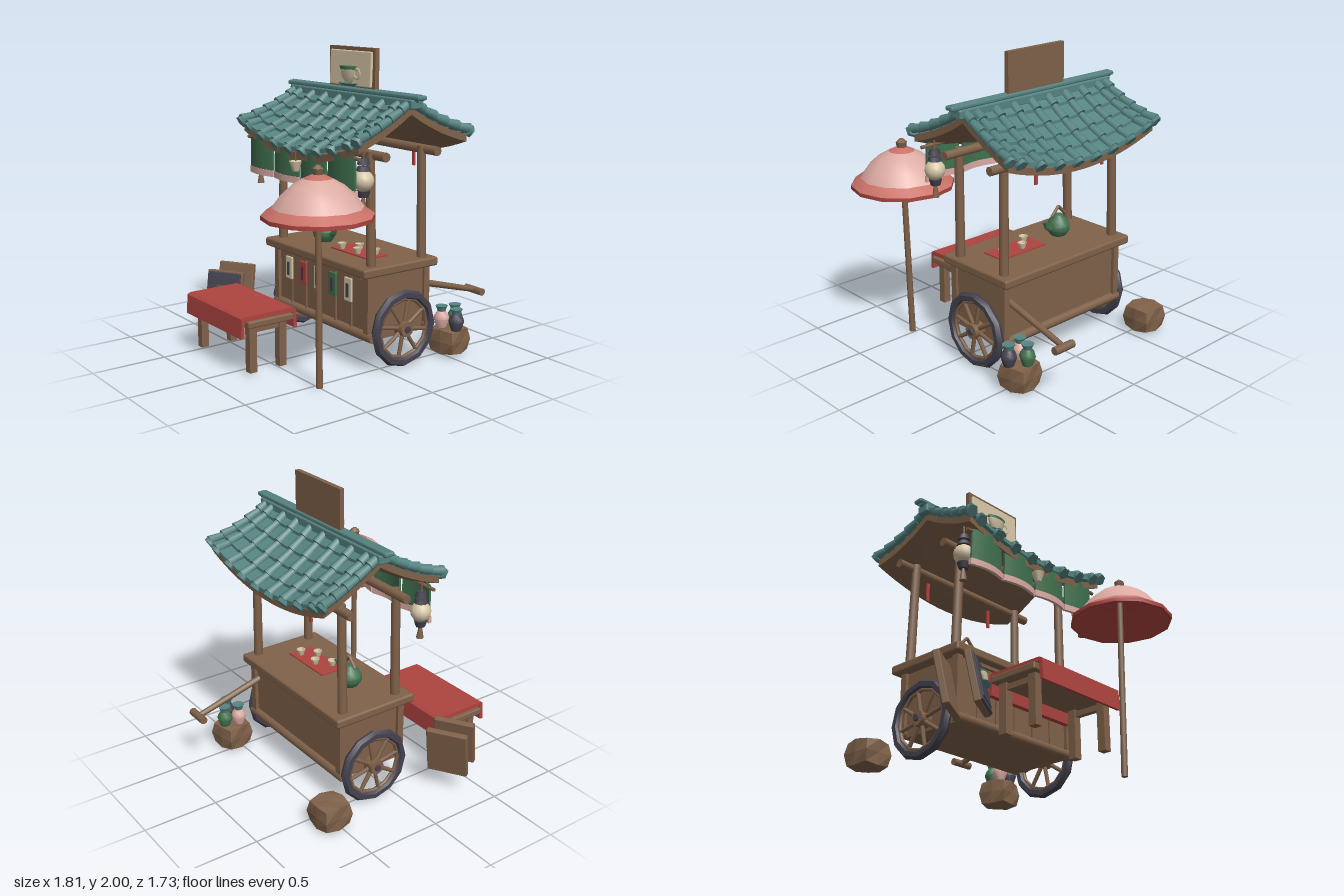
import * as THREE from 'three';
import { toCreasedNormals } from 'three/addons/utils/BufferGeometryUtils.js';
import { RoundedBoxGeometry } from 'three/addons/geometries/RoundedBoxGeometry.js';

const paint = (name, color) => Object.assign(new THREE.MeshStandardMaterial({ color }), { name });
const V = (x, y, z) => new THREE.Vector3(x, y, z);

export function createModel() {
  const wood = paint('wood', 0x80624a), teal = paint('roof teal', 0x568482), navy = paint('dark slate', 0x45424f);
  const red = paint('red cloth', 0xae4440), salmon = paint('salmon', 0xc97268), pink = paint('pale pink', 0xdbaba3);
  const cream = paint('cream', 0xd8c8a8), green = paint('green', 0x41724f);
  const root = new THREE.Group();
  root.name = 'teaCart';

  // helpers
  const group = (name, x = 0, y = 0, z = 0, parent = root) => {
    const g = new THREE.Group();
    g.name = name;
    g.position.set(x, y, z);
    parent.add(g);
    return g;
  };
  const add = (name, geo, mat, x = 0, y = 0, z = 0, parent = root) => {
    const m = new THREE.Mesh(geo, mat);
    m.name = name;
    m.position.set(x, y, z);
    parent.add(m);
    return m;
  };
  const box = (name, mat, w, h, d, x, y, z, parent) => add(name, new THREE.BoxGeometry(w, h, d), mat, x, y, z, parent);
  const soft = (name, mat, w, h, d, r, x, y, z, parent) => add(name, new RoundedBoxGeometry(w, h, d, 1, r), mat, x, y, z, parent);
  const rod = (name, mat, a, b, r0, r1 = r0, parent = root, sides = 8) => {
    const dir = b.clone().sub(a);
    const m = add(name, new THREE.CylinderGeometry(r1, r0, dir.length(), sides), mat, 0, 0, 0, parent);
    m.position.copy(a).add(b).multiplyScalar(0.5);
    m.quaternion.setFromUnitVectors(V(0, 1, 0), dir.normalize());
    return m;
  };
  const lathe = (name, mat, pts, x, y, z, parent, sides = 12) => add(name,
    toCreasedNormals(new THREE.LatheGeometry(pts.map(p => new THREE.Vector2(...p)), sides), 0.7), mat, x, y, z, parent);
  const warp = (geo, rule) => {
    const p = geo.attributes.position;
    for (let i = 0; i < p.count; i++) {
      const v = rule(V(p.getX(i), p.getY(i), p.getZ(i)));
      p.setXYZ(i, v.x, v.y, v.z);
    }
    return toCreasedNormals(geo, 0.6);
  };

  // cart body
  const cart = group('cart');
  box('cartBody', wood, 1.0, 0.42, 0.46, 0.005, 0.41, -0.135, cart);
  soft('counterTop', wood, 1.115, 0.06, 0.6, 0.015, -0.007, 0.65, -0.135, cart);
  for (const z of [0.095, -0.365]) {
    rod('bottomBeam', wood, V(-0.53, 0.23, z), V(0.55, 0.23, z), 0.032, 0.032, cart);
    for (const x of [-0.495, 0.5]) box('cornerPost', wood, 0.045, 0.4, 0.045, x, 0.43, z, cart);
  }
  box('signRail', wood, 0.88, 0.022, 0.02, 0.01, 0.607, 0.11, cart);
  [cream, red, cream, green, cream].forEach((mat, i) => {
    const x = -0.33 + i * 0.165;
    box('frontBatten', wood, 0.014, 0.36, 0.012, x, 0.43, 0.1, cart);
    soft('menuPlaque', mat, 0.076, 0.155, 0.016, 0.006, x, 0.505, 0.122, cart);
    box('menuStripe', navy, 0.024, 0.09, 0.006, x, 0.5, 0.132, cart);
  });

  // wheels
  for (const s of [-1, 1]) {
    const wheel = group('wheel', 0.553 * s, 0.256, -0.147);
    const tyre = add('tyre', toCreasedNormals(new THREE.TorusGeometry(0.223, 0.031, 6, 12), 0.5), navy, 0, 0, 0, wheel);
    tyre.rotation.y = Math.PI / 2;
    const felloe = add('felloe', new THREE.TorusGeometry(0.192, 0.013, 5, 12), wood, 0, 0, 0, wheel);
    felloe.rotation.y = Math.PI / 2;
    for (let i = 0; i < 8; i++) {
      const a = i * Math.PI / 4 + 0.2;
      rod('spoke', wood, V(0, 0, 0), V(0, 0.2 * Math.sin(a), 0.2 * Math.cos(a)), 0.015, 0.013, wheel, 6);
    }
    rod('hub', wood, V(-0.04, 0, 0), V(0.04, 0, 0), 0.05, 0.05, wheel, 10);
    rod('hubCap', navy, V(0.03 * s, 0, 0), V(0.052 * s, 0, 0), 0.025, 0.022, wheel, 6);
  }
  rod('axle', wood, V(-0.55, 0.256, -0.147), V(0.55, 0.256, -0.147), 0.022);

  // pull handle
  rod('handleShaft', wood, V(0.465, 0.52, -0.3), V(0.465, 0.37, -0.84), 0.023, 0.019);
  rod('handleGrip', wood, V(0.39, 0.368, -0.842), V(0.545, 0.368, -0.842), 0.026);

  // roof posts and beams
  for (const z of [0.065, -0.345]) {
    for (const s of [-1, 1]) rod('roofPost', wood, V(0.487 * s, 0.66, z), V(0.473 * s + 0.005, 1.4, z + 0.005), 0.031, 0.028);
    rod('roofBeam', wood, V(-0.6, 1.375, z - 0.015), V(0.61, 1.375, z - 0.015), 0.03);
  }

  // curved roof: u runs along the ridge, s from back eave to front eave
  const roof = group('roof');
  const roofPoint = (u, s, lift = 0) => {
    const d = Math.abs(s);
    return V(0.02 + u * (0.595 + 0.035 * d * d), 1.69 - 0.29 * d + 0.09 * d * d - 0.12 * (1 - u * u) * d + lift, -0.135 + 0.445 * s);
  };
  const slab = (name, mat, s0, s1, low, high, n, kick = () => 0) => add(name,
    warp(new THREE.BoxGeometry(2, 1, 1, 16, 1, n), v => {
      const s = s0 + (v.z + 0.5) * (s1 - s0);
      return roofPoint(v.x, s, (v.y > 0 ? high : low) + kick(s));
    }), mat, 0, 0, 0, roof);
  slab('roofUnderside', wood, -0.96, 0.96, -0.07, -0.025, 14);
  const rows = 5;
  const columns = [-1, 1];
  for (let i = 0; i < 8; i++) columns.push((i - 3.5) * 0.247);
  for (const side of [-1, 1]) {
    for (let r = 0; r < rows; r++) {
      const a = side * r / rows, b = side * (r + 1) / rows;
      slab('tileCourse', teal, Math.min(a, b), Math.max(a, b), -0.026, 0, 2, s => 0.02 * (Math.abs(s) * rows - r));
      for (const u of columns) rod('rollTile', teal, roofPoint(u, a, 0.008), roofPoint(u, b * 1.01, 0.016), 0.025, 0.034, roof);
    }
    for (const u of columns) rod('eaveCap', teal, roofPoint(u, side * 0.98, 0.004), roofPoint(u, side * 1.025, -0.004), 0.042, 0.042, roof, 5);
  }
  soft('ridgeBase', teal, 1.29, 0.06, 0.09, 0.012, 0.025, 1.685, -0.135, roof);
  soft('ridgeCap', teal, 1.385, 0.03, 0.07, 0.012, 0.028, 1.727, -0.135, roof);
  rod('ridgeRoll', teal, V(-0.645, 1.722, -0.135), V(0.7, 1.722, -0.135), 0.026, 0.026, roof);

  // cup emblem, reused on both signs
  const emblem = (x, y, z, k, parent) => {
    const g = group('cupEmblem', x, y, z, parent);
    g.scale.set(k, k, k * 0.45);
    lathe('emblemCup', cream, [[0, -0.045], [0.025, -0.045], [0.055, -0.01], [0.066, 0.045], [0, 0.045]], 0, 0, 0, g);
    lathe('emblemTea', green, [[0.068, 0.03], [0.07, 0.047], [0, 0.049]], 0, 0, 0, g);
    add('emblemHandle', new THREE.TorusGeometry(0.026, 0.009, 6, 12), cream, 0.075, 0.008, 0, g);
    lathe('emblemSaucer', teal, [[0, -0.062], [0.05, -0.062], [0.085, -0.046], [0, -0.044]], 0, 0, 0, g);
  };

  // roof sign
  const sign = group('roofSign', 0.035, 1.87, -0.143);
  box('signBoard', wood, 0.475, 0.26, 0.032, 0, 0, 0, sign);
  const face = soft('signFace', cream, 0.43, 0.225, 0.02, 0.008, 0, -0.005, 0.024, sign);
  face.rotation.x = -0.04;
  emblem(0, -0.045, 0.045, 1.15, sign);

  // split curtain
  for (const x of [-0.43, -0.137, 0.158, 0.45]) {
    const curtain = group('curtain', x, 0, 0.262);
    const cloth = (name, mat, w, h, d, y) => add(name, warp(new THREE.BoxGeometry(w, h, d, 8, 3, 1),
      v => V(v.x * (1 - 0.25 * (v.y + y - 1.17)), v.y + y, v.z + 0.025 * Math.cos(v.x * 11))), mat, 0, 0, 0, curtain);
    cloth('curtainPanel', green, 0.272, 0.22, 0.014, 1.29);
    cloth('curtainHem', pink, 0.282, 0.042, 0.022, 1.171);
  }
  rod('curtainRod', wood, V(-0.6, 1.385, 0.262), V(0.62, 1.385, 0.262), 0.012);
  lathe('hangingCup', cream, [[0, -0.035], [0.02, -0.035], [0.042, 0.03], [0, 0.03]], 0.012, 1.27, 0.3);
  rod('cupCord', wood, V(0.012, 1.29, 0.3), V(0.012, 1.4, 0.3), 0.004);
  for (const x of [-0.28, 0.3]) box('redTassel', red, 0.022, 0.13, 0.012, x, 1.305, -0.43);

  // lanterns
  for (const s of [-1, 1]) {
    const lantern = group('lantern', 0.565 * s + 0.005, 1.245, 0.195);
    const globe = add('lanternGlobe', new THREE.SphereGeometry(0.066, 12, 8), cream, 0, 0, 0, lantern);
    globe.scale.y = 0.98;
    rod('lanternTop', navy, V(0, 0.06, 0), V(0, 0.088, 0), 0.045, 0.035, lantern);
    rod('lanternCollar', navy, V(0, 0.1, 0), V(0, 0.135, 0), 0.04, 0.03, lantern);
    rod('lanternBase', navy, V(0, -0.1, 0), V(0, -0.06, 0), 0.03, 0.042, lantern);
    rod('lanternTassel', wood, V(0, -0.18, 0), V(0, -0.1, 0), 0.024, 0.01, lantern);
    rod('lanternCord', wood, V(0, 0.13, 0), V(0, 0.2, 0), 0.006, 0.006, lantern);
  }

  // parasol
  const parasol = group('parasol', 0.573, 0, 0.53);
  rod('parasolPole', wood, V(-0.018, 0.01, -0.02), V(0, 1.32, 0), 0.021, 0.019, parasol);
  lathe('parasolCrown', salmon, [[0.085, 1.297], [0.04, 1.318], [0, 1.325]], 0, 0, 0, parasol);
  lathe('parasolCanopy', pink, [[0.272, 1.13], [0.22, 1.2], [0.155, 1.258], [0.085, 1.297]], 0, 0, 0, parasol);
  lathe('parasolBorder', salmon, [[0.335, 1.085], [0.272, 1.13]], 0, 0, 0, parasol);
  lathe('parasolUnderside', red, [[0, 1.27], [0.14, 1.225], [0.25, 1.12], [0.315, 1.058], [0.335, 1.06], [0.335, 1.085]], 0, 0, 0, parasol);
  rod('parasolFinial', wood, V(0, 1.315, 0), V(0, 1.355, 0), 0.03, 0.036, parasol, 6);
  rod('finialTip', wood, V(0, 1.355, 0), V(0, 1.375, 0), 0.036, 0.014, parasol, 6);

  // bench with draped cloth
  const bench = group('bench', -0.195, 0, 0.598);
  soft('benchSeat', wood, 0.735, 0.045, 0.335, 0.01, 0, 0.345, 0, bench);
  const u = new THREE.Shape();
  [[-0.208, 0.26], [-0.182, 0.265], [-0.178, 0.367], [0.178, 0.367], [0.182, 0.265], [0.208, 0.26], [0.2, 0.385], [0.18, 0.397], [-0.18, 0.397], [-0.2, 0.385]]
    .forEach(([x, y], i) => (i ? u.lineTo(x, y) : u.moveTo(x, y)));
  const drape = new THREE.ExtrudeGeometry(u, { depth: 0.68, bevelEnabled: false });
  drape.translate(0, 0, -0.34).rotateY(Math.PI / 2);
  add('benchCloth', drape, red, 0, 0, 0, bench);
  for (const x of [-0.3, 0.3]) {
    for (const z of [-0.11, 0.11]) box('benchLeg', wood, 0.052, 0.31, 0.052, x, 0.175, z, bench);
    box('benchBrace', wood, 0.035, 0.035, 0.22, x, 0.295, 0, bench);
  }

  // leaning menu boards
  const board = (name, x, y, z, h) => {
    const g = group(name, x, y, z);
    g.rotation.set(-0.2, 0.55, 0, 'YXZ');
    soft(name + 'Panel', wood, 0.268, h, 0.042, 0.008, 0, 0, 0, g);
    return g;
  };
  board('rearBoard', -0.765, 0.3, 0.285, 0.335);
  const front = board('frontBoard', -0.668, 0.293, 0.435, 0.32);
  soft('boardSlate', navy, 0.25, 0.305, 0.02, 0.009, -0.002, -0.004, 0.022, front);
  soft('boardInset', navy, 0.2, 0.25, 0.012, 0.005, 0, 0, 0.031, front);
  emblem(0, 0.02, 0.042, 0.8, front);

  // faceted crates
  const crate = (x, z, w, d, turn) => {
    const geo = new THREE.BoxGeometry(w, 0.165, d, 2, 2, 2).toNonIndexed();
    warp(geo, v => {
      const corner = Math.abs(v.x) > 0.01 && Math.abs(v.y) > 0.01 && Math.abs(v.z) > 0.01;
      return corner ? v.multiplyScalar(0.86) : v;
    });
    geo.computeVertexNormals();
    add('crate', geo, wood, x, 0.103, z).rotation.y = turn;
  };
  crate(0.545, -0.548, 0.2, 0.2, 0.2);
  crate(-0.625, -0.543, 0.205, 0.205, 0.03);

  // vases on the crate
  for (const [mat, x, z] of [[navy, 0.625, -0.535], [green, 0.535, -0.605], [pink, 0.51, -0.51]]) {
    const vase = group('vase', x, 0.183, z);
    lathe('vaseBody', mat, [[0, 0], [0.032, 0], [0.052, 0.06], [0.045, 0.085], [0.028, 0.11], [0, 0.11]], 0, 0, 0, vase, 10);
    lathe('vaseRim', teal, [[0.026, 0.1], [0.03, 0.125], [0.042, 0.145], [0, 0.138]], 0, 0, 0, vase, 10);
  }

  // teapot
  const pot = group('teapot', -0.228, 0.68, -0.1);
  lathe('potBody', green, [[0, 0], [0.05, 0], [0.078, 0.04], [0.08, 0.07], [0.06, 0.11], [0.038, 0.13], [0.03, 0.145], [0, 0.15]], 0, 0, 0, pot);
  const spout = new THREE.CatmullRomCurve3([V(0.05, 0.05, 0), V(0.1, 0.07, 0), V(0.115, 0.105, 0), V(0.14, 0.13, 0)]);
  add('potSpout', new THREE.TubeGeometry(spout, 8, 0.018, 8), green, 0, 0, 0, pot);
  for (const s of [-1, 1]) rod('potHandle', wood, V(0.06 * s, 0.14, 0), V(0, 0.2, 0), 0.011, 0.011, pot, 6);

  // tea cups on a mat
  box('teaMat', red, 0.385, 0.009, 0.17, 0.16, 0.684, -0.095);
  for (let i = 0; i < 4; i++) {
    lathe('teaCup', cream, [[0, 0], [0.017, 0], [0.03, 0.04], [0.024, 0.04], [0.015, 0.012], [0, 0.012]], 0.042 + i * 0.084, 0.687, i % 2 ? -0.125 : -0.045);
  }
  return root;
}
